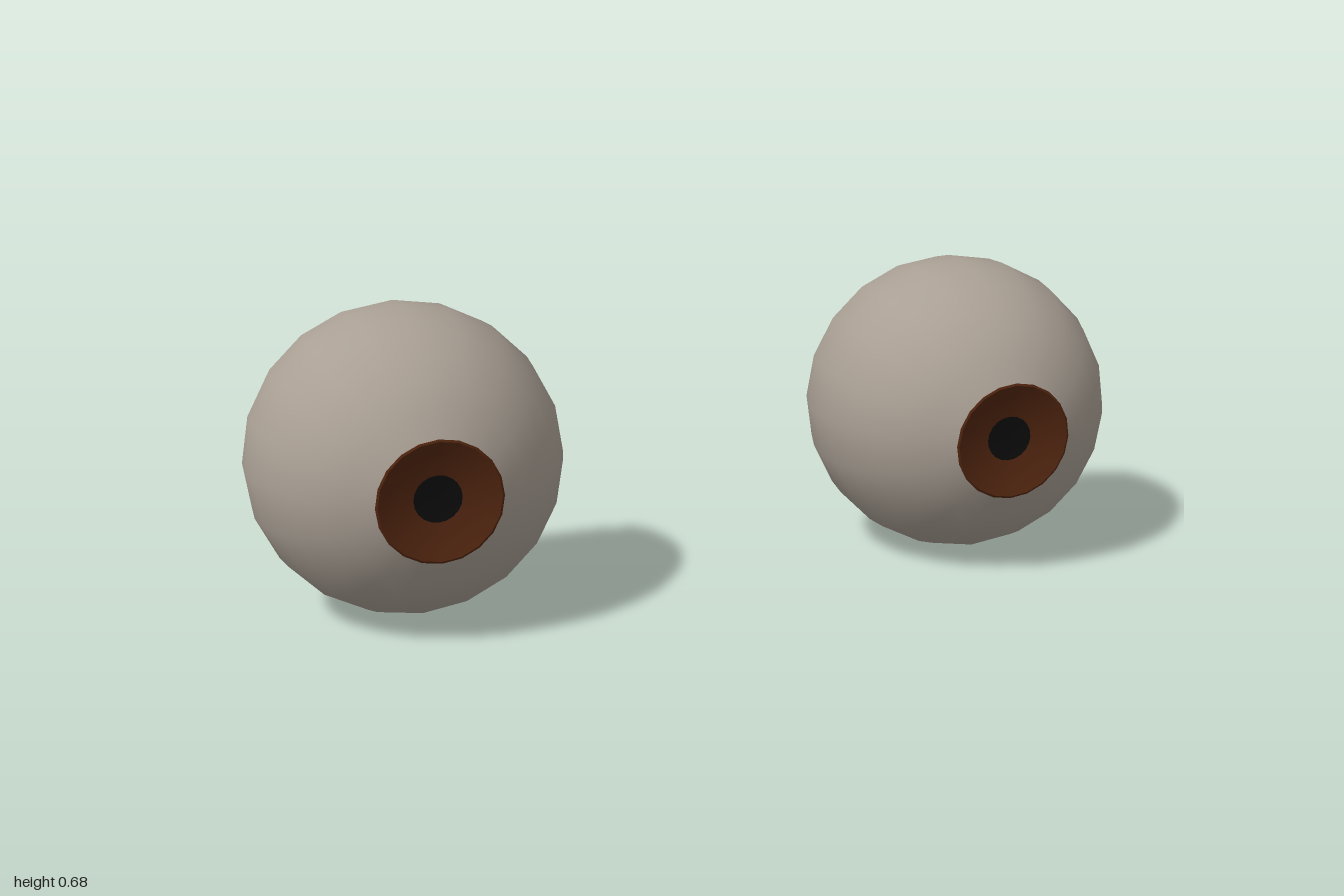
import * as THREE from 'three';

const R = 0.344;          // eyeball radius
const SIDES = 20;
const STEP = Math.PI / 16; // angle between rings
const RIM = 2 * STEP;      // socket of the iris, measured from the front pole
const BACK = 10 * STEP;    // open back edge

const mat = (name, color) =>
  Object.assign(new THREE.MeshStandardMaterial({ color, side: THREE.DoubleSide }), { name });

// Turns a profile of [radius, depth] points about the z axis
function turned(name, points, material) {
  const geo = new THREE.LatheGeometry(points.map(([r, z]) => new THREE.Vector2(r, z)), SIDES);
  geo.rotateX(Math.PI / 2);
  const mesh = new THREE.Mesh(geo, material);
  mesh.name = name;
  return mesh;
}

export function createModel() {
  const white = mat('eyeWhite', 0xa99f94);
  const brown = mat('irisBrown', 0x522610);
  const black = mat('pupilBlack', 0x0d0d0d);

  const onBall = (a) => [R * Math.sin(a), R * Math.cos(a)];
  const edge = onBall(RIM);
  // Point where the iris colour ends, just outside the socket
  const next = onBall(RIM + STEP);
  const border = edge.map((v, i) => v + (next[i] - v) * 0.08);
  // Dished iris: the front cap of the ball turned inward
  const dish = (r) => [r, 2 * edge[1] - Math.sqrt(R * R - r * r)];

  // Open shell from the back edge to the iris
  const shell = [];
  for (let a = BACK; a > RIM + STEP / 2; a -= STEP) shell.push(onBall(a));
  shell.push(border);

  function eye(name, x, pitch, yaw) {
    const g = new THREE.Group();
    g.name = name;
    g.add(
      turned('eyeball', shell, white),
      turned('irisBorder', [border, edge], brown),
      turned('iris', [edge, dish(0.105), dish(0.078), dish(0.052)], brown),
      turned('pupil', [dish(0.052), dish(0.026), dish(0)], black)
    );
    g.position.set(x, 0.3395, -0.09);
    g.rotation.set(THREE.MathUtils.degToRad(pitch), THREE.MathUtils.degToRad(yaw), 0);
    g.scale.y = 0.985;
    return g;
  }

  const model = new THREE.Group();
  model.name = 'eyes';
  model.add(eye('leftEye', 0.656, 2.2, -1.2), eye('rightEye', -0.656, 1.3, 0));
  return model;
}
